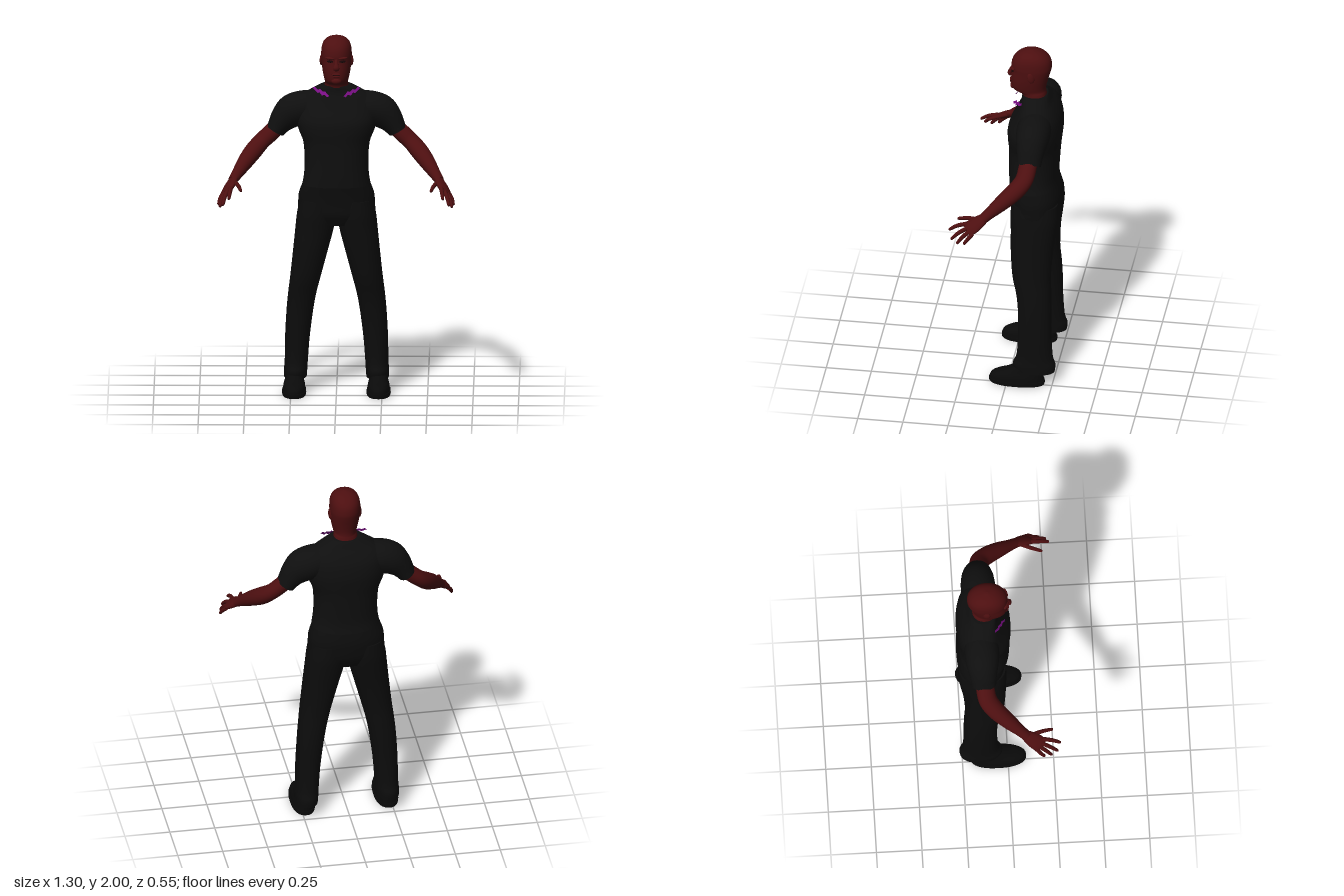
import * as THREE from 'three';

const mat = (name, color, side = THREE.FrontSide) => {
  const m = new THREE.MeshStandardMaterial({ color, side });
  m.name = name;
  return m;
};

// Smoothly resample rows of numbers (Catmull-Rom on every column)
function resample(rows, n) {
  const out = [], at = i => rows[Math.min(rows.length - 1, Math.max(0, i))];
  for (let i = 0; i < rows.length - 1; i++) {
    for (let k = 0; k < n; k++) {
      const t = k / n;
      out.push(at(i).map((b, c) => {
        const a = at(i - 1)[c], d = at(i + 1)[c], e = at(i + 2)[c];
        return b + 0.5 * t * (d - a + t * (2 * a - 5 * b + 4 * d - e + t * (3 * (b - d) + e - a)));
      }));
    }
  }
  out.push(rows[rows.length - 1]);
  return out;
}

// Skin a list of rings into a closed smooth surface
function skin(rings) {
  const pos = [], idx = [], n = rings[0].length, last = rings.length - 1;
  rings.forEach(r => r.forEach(p => pos.push(p.x, p.y, p.z)));
  for (let i = 0; i < last; i++) {
    for (let j = 0; j < n; j++) {
      const a = i * n + j, b = i * n + (j + 1) % n;
      idx.push(a, a + n, b, b, a + n, b + n);
    }
  }
  [0, last].forEach(i => {
    const start = pos.length / 3, mid = new THREE.Vector3();
    rings[i].forEach(p => { mid.addScaledVector(p, 1 / n); pos.push(p.x, p.y, p.z); });
    pos.push(mid.x, mid.y, mid.z);
    for (let j = 0; j < n; j++) {
      const a = start + j, b = start + (j + 1) % n;
      if (i === 0) idx.push(start + n, a, b); else idx.push(start + n, b, a);
    }
  });
  const g = new THREE.BufferGeometry();
  g.setAttribute('position', new THREE.Float32BufferAttribute(pos, 3));
  g.setIndex(idx);
  g.computeVertexNormals();
  return g;
}

// Horizontal sections, bottom to top: [y, x0, x1, zFront, zBack]; power < 1 is boxier
function stack(rows, { s = 1, power = 0.85, n = 4, sides = 32 } = {}) {
  const sp = v => Math.sign(v) * Math.abs(v) ** power;
  return skin(resample(rows, n).map(([y, x0, x1, zf, zb]) => Array.from({ length: sides }, (_, j) => {
    const t = j / sides * Math.PI * 2;
    return new THREE.Vector3(s * (x0 + x1) / 2 + sp(Math.cos(t)) * (x1 - x0) / 2, y,
      (zf + zb) / 2 + sp(Math.sin(t)) * (zf - zb) / 2);
  })));
}

// Limb sections along a path: [x, y, z, halfAcross, halfWide], wide being nearest to the given axis
function limb(rows, s = 1, wide = [0, 0, 1], n = 4, sides = 16) {
  const r = resample(rows, n).map(([x, y, z, a, b]) => ({ p: new THREE.Vector3(x * s, y, z), a, b }));
  return skin(r.map(({ p, a, b }, i) => {
    const d = r[Math.min(i + 1, r.length - 1)].p.clone().sub(r[Math.max(i - 1, 0)].p).normalize();
    const v = new THREE.Vector3(wide[0] * s, wide[1], wide[2]);
    v.addScaledVector(d, -v.dot(d)).normalize();
    const u = d.clone().cross(v);
    return Array.from({ length: sides }, (_, j) => {
      const t = j / sides * Math.PI * 2;
      return p.clone().addScaledVector(u, Math.cos(t) * a).addScaledVector(v, Math.sin(t) * b);
    });
  }));
}

export function createModel() {
  const model = new THREE.Group();
  model.name = 'standingMan';
  const skinTone = mat('skin', 0x4d0f10), shirt = mat('shirtCloth', 0x0f0f0f);
  const trousers = mat('trouserCloth', 0x0c0c0c), leather = mat('shoeLeather', 0x0a0a0a);
  const dark = mat('eyeDark', 0x180607), purple = mat('collarPurple', 0x7d0f88, THREE.DoubleSide);
  const add = (name, geo, m, parent = model) => {
    const mesh = new THREE.Mesh(geo, m);
    mesh.name = name;
    parent.add(mesh);
    return mesh;
  };
  const blob = (name, m, parent, p, r, rot = [0, 0, 0]) => {
    const mesh = add(name, new THREE.SphereGeometry(1, 16, 12), m, parent);
    mesh.position.set(...p);
    mesh.scale.set(...r);
    mesh.rotation.set(...rot);
  };
  const even = rows => rows.map(([y, w, zf, zb]) => [y, -w, w, zf, zb]);

  // Head and neck
  const head = new THREE.Group();
  head.name = 'head';
  model.add(head);
  add('skullAndNeck', stack(even([
    [1.64, 0.085, -0.05, -0.2], [1.7, 0.07, -0.052, -0.188], [1.735, 0.064, -0.04, -0.182],
    [1.75, 0.064, -0.002, -0.18], [1.775, 0.07, 0.01, -0.182], [1.82, 0.078, 0.012, -0.193],
    [1.87, 0.083, 0.008, -0.207], [1.9, 0.084, 0.011, -0.212], [1.94, 0.08, 0.002, -0.206],
    [1.97, 0.067, -0.022, -0.183], [1.99, 0.042, -0.055, -0.148], [2, 0.006, -0.095, -0.108],
  ]), { power: 0.93 }), skinTone, head);
  add('nose', limb([[0, 1.886, 0.002, 0.009, 0.008], [0, 1.86, 0.014, 0.011, 0.01],
    [0, 1.838, 0.022, 0.017, 0.011], [0, 1.828, 0.012, 0.012, 0.008]]), skinTone, head);
  blob('upperLip', skinTone, head, [0, 1.803, 0.012], [0.026, 0.006, 0.008]);
  blob('lowerLip', skinTone, head, [0, 1.792, 0.011], [0.022, 0.006, 0.009]);
  blob('mouthLine', dark, head, [0, 1.798, 0.012], [0.025, 0.0015, 0.008]);
  blob('chin', skinTone, head, [0, 1.763, 0], [0.028, 0.018, 0.018]);
  for (const s of [1, -1]) {
    blob('brow', skinTone, head, [s * 0.035, 1.891, 0], [0.028, 0.008, 0.012], [0, s * 0.3, s * 0.08]);
    blob('eye', dark, head, [s * 0.034, 1.874, 0.001], [0.018, 0.007, 0.006], [0, s * 0.3, 0]);
    blob('ear', skinTone, head, [s * 0.082, 1.86, -0.108], [0.009, 0.032, 0.02], [0.2, s * 0.3, 0]);
  }

  // Shirt body
  add('shirtBody', stack(even([
    [1.165, 0.187, 0.018, -0.256], [1.22, 0.178, 0.02, -0.25], [1.3, 0.174, 0.021, -0.254],
    [1.4, 0.182, 0.022, -0.262], [1.47, 0.208, 0.027, -0.27], [1.53, 0.222, 0.022, -0.274],
    [1.6, 0.222, -0.012, -0.264], [1.65, 0.2, -0.036, -0.24], [1.685, 0.15, -0.048, -0.215],
    [1.712, 0.1, -0.05, -0.2], [1.722, 0.08, -0.052, -0.192],
  ])), shirt);

  // Trouser hips
  add('trouserHips', stack(even([
    [0.945, 0.16, -0.03, -0.235], [1, 0.208, -0.002, -0.262], [1.06, 0.21, 0, -0.27],
    [1.12, 0.204, 0.003, -0.268], [1.2, 0.172, 0.012, -0.245],
  ])), trousers);

  for (const s of [1, -1]) {
    const side = s > 0 ? 'left' : 'right';

    // Trouser leg and shoe
    add(side + 'TrouserLeg', stack([
      [0.08, 0.163, 0.288, -0.04, -0.262], [0.12, 0.16, 0.288, -0.03, -0.265],
      [0.17, 0.157, 0.284, -0.05, -0.25], [0.3, 0.147, 0.282, -0.058, -0.242],
      [0.45, 0.128, 0.274, -0.055, -0.241], [0.55, 0.11, 0.265, -0.043, -0.237],
      [0.65, 0.085, 0.253, -0.02, -0.232], [0.8, 0.045, 0.237, -0.007, -0.241],
      [0.92, 0.014, 0.225, -0.004, -0.257], [1, 0.004, 0.216, 0, -0.266], [1.08, 0.006, 0.2, -0.006, -0.262],
    ], { s, power: 0.9 }), trousers);
    add(side + 'ShoeSole', stack([[0, 0.167, 0.296, 0.094, -0.206], [0.008, 0.165, 0.298, 0.1, -0.208],
      [0.024, 0.166, 0.297, 0.1, -0.207]], { s, n: 1 }), leather);
    add(side + 'ShoeUpper', stack([[0.015, 0.17, 0.293, 0.096, -0.203], [0.045, 0.171, 0.291, 0.091, -0.202],
      [0.064, 0.176, 0.286, 0.062, -0.203], [0.082, 0.182, 0.28, 0.01, -0.204],
      [0.12, 0.186, 0.275, -0.06, -0.206], [0.16, 0.19, 0.272, -0.08, -0.2]], { s }), leather);

    // Sleeve and bare arm
    add(side + 'Sleeve', limb([[0.1, 1.605, -0.14, 0.078, 0.085], [0.18, 1.588, -0.14, 0.092, 0.095],
      [0.245, 1.563, -0.14, 0.094, 0.09], [0.29, 1.523, -0.138, 0.076, 0.078],
      [0.318, 1.485, -0.137, 0.06, 0.07], [0.335, 1.457, -0.136, 0.052, 0.067]], s, undefined, 4, 24), shirt);
    const arm = new THREE.Group();
    arm.name = side + 'Arm';
    model.add(arm);
    add('bareArm', limb([[0.31, 1.495, -0.135, 0.042, 0.05], [0.36, 1.445, -0.13, 0.045, 0.052],
      [0.41, 1.4, -0.117, 0.044, 0.052], [0.455, 1.355, -0.075, 0.048, 0.05],
      [0.5, 1.306, -0.012, 0.043, 0.043], [0.54, 1.258, 0.05, 0.032, 0.032],
      [0.565, 1.228, 0.088, 0.024, 0.029]], s, [-0.6, 0, 0.8], 4, 20), skinTone, arm);

    // Hand with fingers and thumb
    const across = [0.75, -0.5, -0.6];
    add('palm', limb([[0.556, 1.238, 0.075, 0.02, 0.027], [0.57, 1.22, 0.1, 0.02, 0.037],
      [0.585, 1.2, 0.13, 0.019, 0.044], [0.598, 1.183, 0.155, 0.015, 0.043],
      [0.605, 1.175, 0.168, 0.008, 0.034]], s, across), skinTone, arm);
    const fingers = [
      ['indexFinger', [0.576, 1.201, 0.17], [0.581, 1.187, 0.225], [0.586, 1.162, 0.266]],
      ['middleFinger', [0.594, 1.185, 0.165], [0.609, 1.158, 0.213], [0.619, 1.124, 0.25]],
      ['ringFinger', [0.608, 1.173, 0.152], [0.625, 1.142, 0.19], [0.635, 1.108, 0.217]],
      ['littleFinger', [0.618, 1.165, 0.134], [0.635, 1.138, 0.158], [0.643, 1.112, 0.178]],
      ['thumb', [0.556, 1.222, 0.115], [0.534, 1.212, 0.175], [0.521, 1.197, 0.226]],
    ];
    for (const [name, a, b, c] of fingers) {
      const end = c.map((v, i) => v + (c[i] - b[i]) * 0.04);
      add(name, limb([[...a, 0.012, 0.012], [...b, 0.011, 0.011], [...c, 0.008, 0.008],
        [...end, 0.002, 0.002]], s, across, 3, 10), skinTone, arm);
    }

    // Jagged purple collar trim, a thin strip running from shoulder to chest
    const outline = [[0, 0], [0.2, -0.01], [0.3, -0.014], [0.42, -0.006], [0.55, -0.016], [0.72, -0.005],
      [0.85, -0.012], [1, 0], [0.88, 0.004], [0.75, 0.014], [0.62, 0.006], [0.45, 0.013], [0.3, 0.004], [0.14, 0.012]];
    const trim = new THREE.ShapeGeometry(new THREE.Shape(outline.map(p => new THREE.Vector2(...p))));
    const p = trim.attributes.position;
    for (let i = 0; i < p.count; i++) {
      const t = p.getX(i), h = p.getY(i);
      p.setXYZ(i, s * (0.13 - 0.092 * t), 1.712 - 0.034 * t + h, -0.065 + 0.06 * t - h * 0.5);
    }
    trim.computeVertexNormals();
    add(side + 'CollarTrim', trim, purple);
  }
  return model;
}
